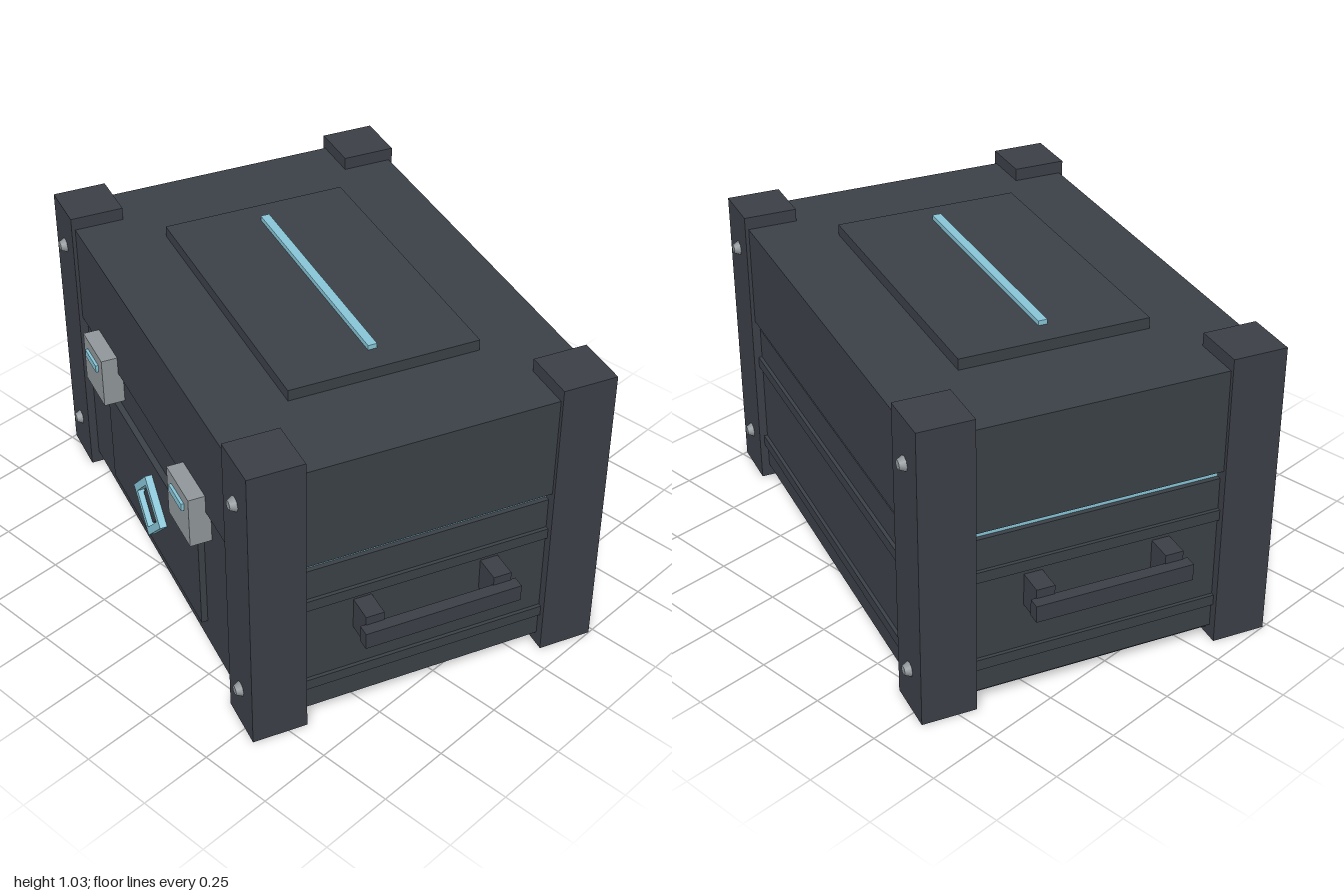
import * as THREE from 'three';

const flat = (name, color) => Object.assign(new THREE.MeshStandardMaterial({ color }), { name });

export function createModel() {
  const bodyMat = flat('charcoal shell', 0x3a4047);
  const postMat = flat('dark steel trim', 0x3b3f46);
  const metalMat = flat('grey metal', 0x8f9599);
  const glowMat = flat('pale blue glow', 0x86c4d6);

  const model = new THREE.Group();
  model.name = 'crate';
  const crate = new THREE.Group();
  crate.name = 'turnedCrate';
  crate.rotation.y = THREE.MathUtils.degToRad(-22);
  model.add(crate);

  const add = (name, geo, mat, x, y, z, parent = crate) => {
    const m = new THREE.Mesh(geo, mat);
    m.name = name;
    m.position.set(x, y, z);
    parent.add(m);
    return m;
  };
  // Box given by its centre in x and z, and its bottom and top heights
  const box = (name, mat, w, d, y0, y1, x = 0, z = 0, parent = crate) =>
    add(name, new THREE.BoxGeometry(w, y1 - y0, d), mat, x, (y0 + y1) / 2, z, parent);

  // Stacked shell: base, lower body, glowing seam, lid, raised top plate
  box('base', bodyMat, 1.58, 1.08, 0.025, 0.045);
  box('lowerBody', bodyMat, 1.62, 1.12, 0.045, 0.593);
  box('seamGlow', glowMat, 1.588, 1.092, 0.593, 0.628);
  box('lid', bodyMat, 1.655, 1.152, 0.628, 0.975);
  box('lidPlate', bodyMat, 1.0, 0.63, 0.975, 1.012);
  box('lidGlow', glowMat, 0.82, 0.03, 1.012, 1.028);

  // Corner posts with rivets on the front and back faces
  const rivetGeo = new THREE.CylinderGeometry(0.015, 0.025, 0.02, 8).rotateX(Math.PI / 2);
  for (const sx of [-1, 1]) for (const sz of [-1, 1]) {
    box('cornerPost', postMat, 0.18, 0.18, 0, 1.018, sx * 0.75, sz * 0.498);
    for (const y of [0.147, 0.87]) {
      const rivet = add('rivet', rivetGeo, metalMat, sx * 0.75, y, sz * 0.598);
      if (sz < 0) rivet.rotation.y = Math.PI;
    }
  }

  // Horizontal ribs on the sides and back
  for (const [y0, y1] of [[0.13, 0.167], [0.449, 0.486]]) {
    for (const s of [-1, 1]) box('sideRib', bodyMat, 0.02, 0.82, y0, y1, s * 0.812, 0);
    box('backRib', bodyMat, 1.33, 0.02, y0, y1, 0, -0.562);
  }

  // Side handles
  for (const s of [-1, 1]) {
    const handle = new THREE.Group();
    handle.name = s > 0 ? 'leftHandle' : 'rightHandle';
    crate.add(handle);
    box('grip', postMat, 0.04, 0.52, 0.343, 0.4, s * 0.914, 0, handle);
    for (const z of [-0.213, 0.213])
      box('bracket', postMat, 0.095, 0.06, 0.32, 0.43, s * 0.85, z, handle);
  }

  // Front panel with a diamond ring emblem
  box('frontPanel', bodyMat, 0.82, 0.03, 0.125, 0.477, 0, 0.566);
  const diamond = (Ctor, r) => {
    const p = new Ctor();
    p.moveTo(r, 0).lineTo(0, r).lineTo(-r, 0).lineTo(0, -r).closePath();
    return p;
  };
  const ring = diamond(THREE.Shape, 0.124);
  ring.holes.push(diamond(THREE.Path, 0.088));
  add('diamondRing', new THREE.ExtrudeGeometry(ring, { depth: 0.024, bevelEnabled: false }),
    glowMat, 0, 0.3, 0.581);
  add('diamondCore', new THREE.ExtrudeGeometry(diamond(THREE.Shape, 0.076), { depth: 0.008, bevelEnabled: false }),
    postMat, 0, 0.3, 0.58);

  // Latches bridging the seam, each with a small light
  for (const s of [-1, 1]) {
    box('latch', metalMat, 0.18, 0.075, 0.513, 0.69, s * 0.389, 0.593);
    box('latchLight', glowMat, 0.105, 0.01, 0.626, 0.652, s * 0.389, 0.635);
  }
  return model;
}

// Chained path calls in diamond() rely on moveTo and lineTo returning the path
